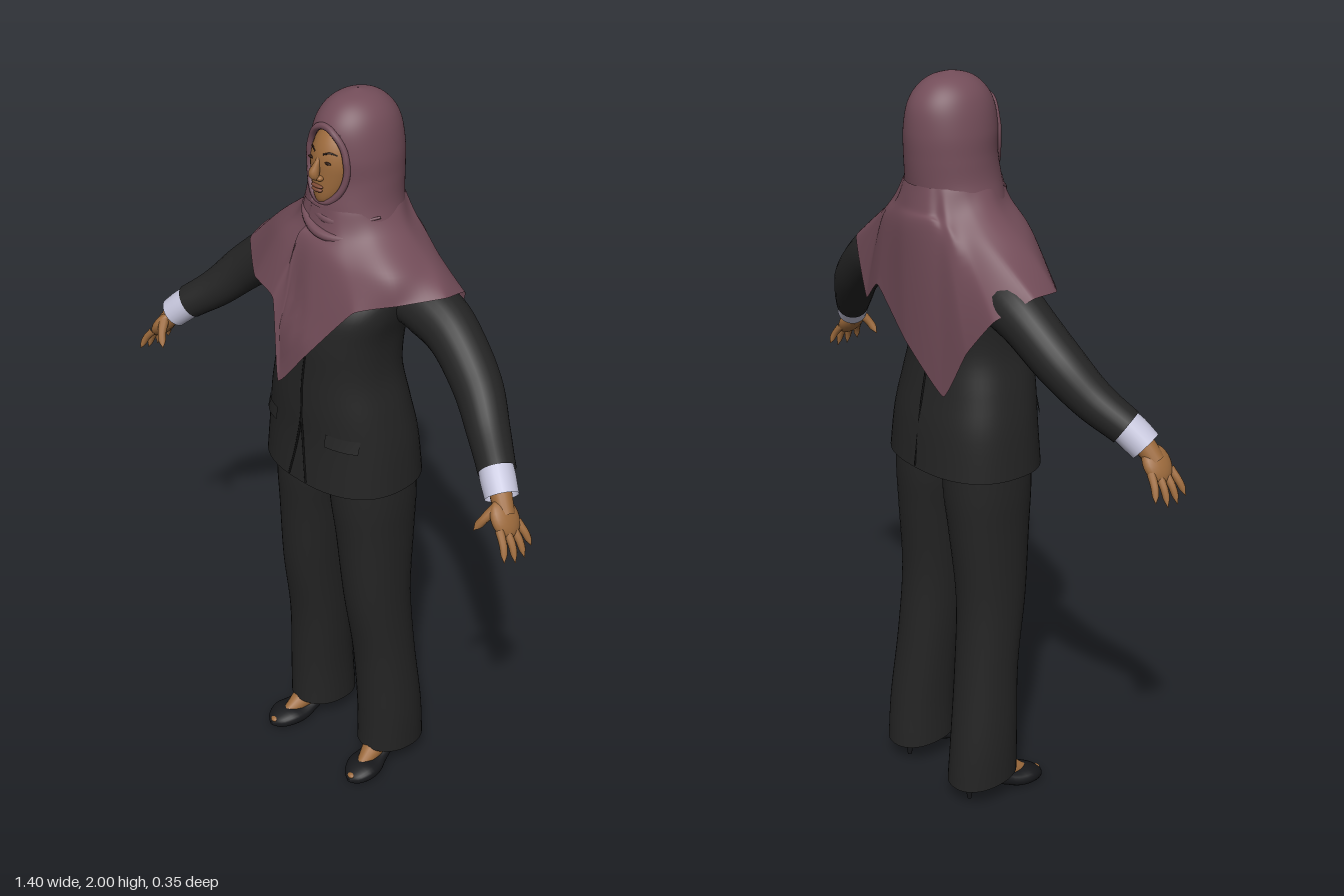
import * as THREE from 'three';

const V = (x, y, z) => new THREE.Vector3(x, y, z);
const mat = (name, color, side = THREE.FrontSide) => {
  const m = new THREE.MeshStandardMaterial({ color, side });
  m.name = name;
  return m;
};
const scarf = mat('scarf plum', 0x734d59, THREE.DoubleSide);
const suit = mat('suit black', 0x242424, THREE.DoubleSide);
const seam = mat('seam black', 0x131313, THREE.DoubleSide);
const cuffMat = mat('cuff white', 0xc6c6dc, THREE.DoubleSide);
const skin = mat('skin brown', 0x9c6a3c);
const lip = mat('lip brown', 0x7d4a35);
const eyeMat = mat('eye brown', 0x2c1a12);
const shoeMat = mat('shoe black', 0x17181b);

// Smooth value of every column of a table at u in 0..1
function at(table, u) {
  const f = Math.min(u, 0.99999) * (table.length - 1), i = Math.floor(f), t = f - i;
  const g = k => table[Math.max(0, Math.min(table.length - 1, k))];
  return table[i].map((b, c) => {
    const a = g(i - 1)[c], d = g(i + 1)[c], e = g(i + 2)[c];
    return b + 0.5 * t * (d - a + t * (2 * a - 5 * b + 4 * d - e + t * (3 * (b - d) + e - a)));
  });
}

// Surface through rows of points; closed rows wrap around
function loft(rows, { closed = true, caps = false } = {}) {
  const n = rows[0].length, pos = rows.flat().flatMap(p => [p.x, p.y, p.z]), idx = [];
  for (let i = 0; i < rows.length - 1; i++)
    for (let j = 0; j < (closed ? n : n - 1); j++) {
      const a = i * n + j, b = i * n + (j + 1) % n;
      idx.push(a, b, b + n, a, b + n, a + n);
    }
  if (caps) [0, rows.length - 1].forEach(r => {
    const c = rows[r].reduce((s, p) => s.add(p), V(0, 0, 0)).divideScalar(n);
    const base = pos.length / 3;
    rows[r].forEach(p => pos.push(p.x, p.y, p.z));
    pos.push(c.x, c.y, c.z);
    for (let j = 0; j < n; j++) {
      const a = base + j, b = base + (j + 1) % n;
      idx.push(...(r ? [a, b, base + n] : [b, a, base + n]));
    }
  });
  const g = new THREE.BufferGeometry();
  g.setAttribute('position', new THREE.Float32BufferAttribute(pos, 3));
  g.setIndex(idx);
  g.computeVertexNormals();
  return g;
}

// Horizontal super-ellipse ring, starting at the front
const pw = (v, p) => Math.sign(v) * Math.abs(v) ** (2 / p);
const ring = ([y, cx, cz, rx, rz], n, p = 2) => Array.from({ length: n }, (_, j) => {
  const a = j / n * Math.PI * 2;
  return V(cx + rx * pw(Math.sin(a), p), y, cz + rz * pw(Math.cos(a), p));
});
const rings = (table, rows, n, p) =>
  Array.from({ length: rows + 1 }, (_, i) => ring(at(table, i / rows), n, p));

// Tube whose radius follows a list
function limb(pts, radii, seg = 16, sides = 16) {
  const c = new THREE.CatmullRomCurve3(pts), g = new THREE.TubeGeometry(c, seg, 1, sides);
  const p = g.attributes.position, tab = radii.map(r => [r]), v = V(0, 0, 0);
  for (let k = 0; k < p.count; k++) {
    const t = Math.floor(k / (sides + 1)) / seg, o = c.getPointAt(t);
    v.fromBufferAttribute(p, k).sub(o).multiplyScalar(Math.max(0.0005, at(tab, t)[0])).add(o);
    p.setXYZ(k, v.x, v.y, v.z);
  }
  return g;
}

// Jacket rings: y, cx, cz, rx, rz
const JACKET = [[0.98, 0, 0.012, 0.22, 0.165], [1.1, 0, 0.014, 0.209, 0.155], [1.2, 0, 0.024, 0.19, 0.146],
  [1.3, 0, 0.03, 0.167, 0.138], [1.4, 0, 0.025, 0.168, 0.142], [1.48, 0, 0.01, 0.186, 0.138],
  [1.55, 0, -0.02, 0.19, 0.11], [1.6, 0, -0.03, 0.15, 0.08], [1.66, 0, -0.03, 0.07, 0.06]];
const JP = 2.4;
function jacketAt(y) {
  let i = 0;
  while (i < JACKET.length - 2 && JACKET[i + 1][0] < y) i++;
  const a = JACKET[i], b = JACKET[i + 1];
  const t = THREE.MathUtils.clamp((y - a[0]) / (b[0] - a[0]), 0, 1);
  return a.map((v, c) => v + (b[c] - v) * t);
}
function onJacket(x, y, dir = 1, off = 0) {
  const [, , cz, rx, rz] = jacketAt(y);
  return V(x, y, cz + dir * (off + rz * (1 - Math.min(1, Math.abs(x) / rx) ** JP) ** (1 / JP)));
}

// Face surface
const FY = 1.835;
function facePoint(x, y, z) {
  return V(0.07 * x * (1 - 0.18 * Math.max(0, -y)), FY + 0.105 * y,
    0.02 + 0.08 * z + (y < 0 && z > 0 ? 0.045 * y * y * Math.min(1, z * 2) : 0));
}
const onFace = (x, y) => {
  const u = x / 0.07, v = (y - FY) / 0.105;
  return facePoint(u, v, Math.sqrt(Math.max(0, 1 - u * u - v * v)));
};

// Scarf hem, from the front point round by the left side
const HEM = [[-0.07, 1.25, 0.178], [0.03, 1.36, 0.178], [0.16, 1.52, 0.135], [0.24, 1.545, 0.065],
  [0.31, 1.56, -0.03], [0.285, 1.53, -0.125], [0.23, 1.38, -0.135], [0.15, 1.44, -0.155],
  [0.02, 1.33, -0.165], [-0.13, 1.22, -0.158], [-0.22, 1.36, -0.155], [-0.3, 1.46, -0.135],
  [-0.36, 1.52, -0.06], [-0.33, 1.51, 0.035], [-0.2, 1.485, 0.135], [-0.085, 1.48, 0.175]];
const HOOD = [[1.68, 0, -0.02, 0.14, 0.12], [1.74, 0, -0.026, 0.12, 0.121], [1.8, 0, -0.033, 0.113, 0.119],
  [1.86, 0, -0.033, 0.109, 0.121], [1.92, 0, -0.033, 0.096, 0.113], [1.96, 0, -0.033, 0.076, 0.09],
  [1.987, 0, -0.033, 0.044, 0.054], [2, 0, -0.033, 0.001, 0.001]];

export function createModel() {
  const model = new THREE.Group();
  const add = (name, geo, m, parent = model) => {
    const o = new THREE.Mesh(geo, m);
    o.name = name;
    parent.add(o);
    return o;
  };
  const blob = (name, m, p, s) => {
    const o = add(name, new THREE.SphereGeometry(1, 20, 14), m);
    o.position.copy(p);
    o.scale.set(...s);
    return o;
  };

  // Jacket with front closure, back vent and pocket flaps
  add('jacket', loft(rings(JACKET, 36, 56, JP), { caps: true }), suit);
  const line = (name, pts, dir) => add(name, new THREE.TubeGeometry(
    new THREE.CatmullRomCurve3(pts.map(([x, y]) => onJacket(x, y, dir))), 16, 0.003, 6), seam);
  line('frontClosure', [[0.03, 1.4], [0.012, 1.28], [0.008, 1.18], [-0.012, 1.08], [-0.035, 0.985]], 1);
  line('frontEdge', [[0.008, 1.18], [0.015, 1.08], [0.028, 0.985]], 1);
  line('backVent', [[0, 1.45], [0, 1.3], [0, 1.15], [0, 0.985]], -1);

  // Head scarf: hood pressed in behind the face opening
  const oval = p => (p.x / 0.064) ** 2 + ((p.y - 1.838) / 0.093) ** 2;
  const hood = rings(HOOD, 60, 110);
  hood.flat().forEach(p => { if (p.z > 0 && oval(p) < 1) p.z = 0; });
  add('hood', loft(hood), scarf);
  const rim = Array.from({ length: 28 }, (_, k) => {
    const a = k / 28 * Math.PI * 2, x = 0.065 * Math.sin(a), y = 1.838 + 0.094 * Math.cos(a);
    let i = 0;
    while (HOOD[i + 1][0] < y) i++;
    const t = (y - HOOD[i][0]) / (HOOD[i + 1][0] - HOOD[i][0]);
    const [rx, rz] = [3, 4].map(c => HOOD[i][c] + (HOOD[i + 1][c] - HOOD[i][c]) * t);
    return V(x, y, -0.034 + rz * Math.sqrt(1 - (x / rx) ** 2));
  });
  add('hoodRim', new THREE.TubeGeometry(new THREE.CatmullRomCurve3(rim, true), 84, 0.009, 8, true), scarf);

  // Drape: rings widen from the neck to the pointed hem and stay clear of the jacket
  const levels = [[1.735, -0.026, 0.118, 0.124], [1.68, -0.026, 0.155, 0.134], [1.61, -0.018, 0.245, 0.154]];
  const curves = [...levels.map(([y, cz, rx, rz]) => HEM.map(([x, , z]) => {
    const a = Math.atan2(x / 0.33, z / 0.16);
    return V(rx * Math.sin(a), y, cz + rz * Math.cos(a));
  })), HEM.map(p => V(...p))].map((pts, k) => new THREE.CatmullRomCurve3(pts, true, 'catmullrom', k < 3 ? 0.5 : 0.2));
  const N = 160, R = 24, drape = Array.from({ length: R + 1 }, () => []);
  for (let j = 0; j < N; j++) {
    const col = curves.map(c => c.getPoint(j / N).toArray());
    for (let i = 0; i <= R; i++) {
      const t = 1 - i / R, p = V(...at(col, t)), a = j / N * Math.PI * 2;
      const w = 1 + 0.018 * Math.sin(a * 9 + t * 5) * Math.sin(Math.PI * t);
      p.x *= w;
      p.z *= w;
      const [, , cz, rx, rz] = jacketAt(p.y);
      const d = (Math.abs(p.x) / (rx + 0.009)) ** JP + (Math.abs(p.z - cz) / (rz + 0.009)) ** JP;
      if (d < 1 && d > 0.01) {
        const s = d ** (-1 / JP);
        p.x *= s;
        p.z = cz + (p.z - cz) * s;
      }
      drape[i].push(p);
    }
  }
  add('scarfDrape', loft(drape), scarf);
  // Folds wrapped under the chin
  [[0, 0], [-0.035, 0.018]].forEach(([dy, dz]) => add('scarfFold', limb([V(-0.1, 1.77 + dy, 0.02 + dz),
    V(-0.055, 1.735 + dy, 0.07 + dz), V(0.01, 1.71 + dy, 0.09 + dz), V(0.07, 1.705 + dy, 0.07 + dz),
    V(0.125, 1.72 + dy, 0.01 + dz)], [0.003, 0.011, 0.013, 0.011, 0.003], 24, 10), scarf));

  // Face
  const face = new THREE.SphereGeometry(1, 40, 30), fp = face.attributes.position;
  for (let k = 0; k < fp.count; k++) fp.setXYZ(k, ...facePoint(fp.getX(k), fp.getY(k), fp.getZ(k)).toArray());
  face.computeVertexNormals();
  add('face', face, skin);
  add('nose', limb([V(0, 1.862, 0.09), V(0, 1.84, 0.103), V(0, 1.822, 0.11), V(0, 1.808, 0.098)],
    [0.006, 0.009, 0.014, 0.006], 14, 12), skin);
  blob('upperLip', lip, onFace(0, 1.79), [0.02, 0.005, 0.007]);
  blob('lowerLip', lip, onFace(0, 1.781), [0.018, 0.006, 0.008]);

  for (const s of [1, -1]) {
    const P = (x, y, z) => V(x * s, y, z);
    blob('nostril', skin, P(0.011, 1.812, 0.1), [0.008, 0.007, 0.01]);
    blob('eye', eyeMat, onFace(0.028 * s, 1.853), [0.011, 0.0035, 0.004]);
    add('eyebrow', limb([0.014, 0.03, 0.045].map((x, i) => onFace(x * s, 1.872 + [0, 0.005, 0][i])),
      [0.002, 0.0025, 0.001], 10, 6), eyeMat);

    // Pocket flap
    add('pocketFlap', loft([1.12, 1.155].map(y => [0, 1, 2, 3, 4].map(i =>
      onJacket(s * (0.09 + 0.02 * i), y - 0.002 * i, 1, y < 1.13 ? 0.008 : 0.003))), { closed: false }), suit);

    // Sleeve and shirt cuff
    add('sleeve', limb([P(0.13, 1.5, -0.045), P(0.22, 1.495, -0.055), P(0.3, 1.465, -0.055), P(0.42, 1.37, -0.03),
      P(0.5, 1.29, 0.01), P(0.572, 1.232, 0.054)], [0.06, 0.073, 0.066, 0.062, 0.054, 0.047], 30, 24), suit);
    add('cuff', limb([P(0.55, 1.252, 0.042), P(0.582, 1.222, 0.062), P(0.614, 1.19, 0.08)],
      [0.041, 0.044, 0.042], 6, 24), cuffMat);

    // Hand
    add('wrist', limb([P(0.58, 1.225, 0.06), P(0.612, 1.19, 0.08), P(0.638, 1.155, 0.092)], [0.028, 0.027, 0.024]), skin);
    const palm = blob('palm', skin, P(0.64, 1.15, 0.095), [0.021, 0.05, 0.041]);
    palm.rotation.z = s * 0.6;
    for (let i = 0; i < 4; i++) {
      const l = [0.85, 1, 1, 0.8][3 - i], z = 0.066 + 0.02 * i;
      add('finger', limb([P(0.652, 1.135, z), P(0.652 + 0.028 * l, 1.135 - 0.036 * l, z + 0.006 * (i - 1.3)),
        P(0.652 + 0.045 * l, 1.135 - 0.077 * l, z + 0.012 * (i - 1.3))], [0.011, 0.01, 0.0095, 0.008, 0.001], 14, 10), skin);
    }
    add('thumb', limb([P(0.622, 1.175, 0.11), P(0.606, 1.145, 0.133), P(0.588, 1.112, 0.146)],
      [0.014, 0.013, 0.011, 0.01, 0.001], 14, 10), skin);

    // Trouser leg, hem lower at the back
    const leg = rings([[0.07, 0.14, -0.035, 0.08, 0.1], [0.2, 0.14, -0.03, 0.08, 0.094], [0.4, 0.13, -0.015, 0.079, 0.087],
      [0.6, 0.122, 0.005, 0.081, 0.096], [0.8, 0.112, 0.005, 0.091, 0.111], [0.92, 0.104, 0.005, 0.101, 0.12],
      [1.05, 0.1, 0.005, 0.1, 0.12]].map(r => [r[0], r[1] * s, ...r.slice(2)]), 30, 40, 2.2);
    leg[0].forEach(p => { p.y += 0.1 * p.z; });
    add('trouserLeg', loft(leg, { caps: true }), suit);

    // Foot and heeled shoe
    add('foot', limb([P(0.14, 0.15, -0.04), P(0.143, 0.1, -0.01), P(0.15, 0.06, 0.045), P(0.157, 0.032, 0.095)],
      [0.034, 0.035, 0.031, 0.018]), skin);
    const SHOE = [[-0.105, 0.14, 0.004, 0.07, 0.09], [-0.09, 0.14, 0.027, 0.055, 0.1], [-0.04, 0.142, 0.032, 0.042, 0.09],
      [0.02, 0.148, 0.038, 0.015, 0.06], [0.06, 0.155, 0.048, 0.003, 0.05], [0.1, 0.16, 0.049, 0.002, 0.05],
      [0.135, 0.163, 0.032, 0.003, 0.036], [0.152, 0.165, 0.006, 0.01, 0.02]];
    add('shoe', loft(Array.from({ length: 25 }, (_, i) => {
      const [z, cx, w, y0, y1] = at(SHOE, i / 24);
      return Array.from({ length: 24 }, (_, j) => {
        const a = j / 24 * Math.PI * 2;
        return V(cx * s + w * pw(Math.cos(a), 2.4), Math.max(0, (y0 + y1) / 2 + (y1 - y0) / 2 * pw(Math.sin(a), 2.4)), z);
      });
    }), { caps: true }), shoeMat);
    blob('toe', skin, P(0.164, 0.026, 0.138), [0.013, 0.008, 0.012]);
    const heel = add('heel', new THREE.CylinderGeometry(0.016, 0.006, 0.07, 12), shoeMat);
    heel.position.set(0.14 * s, 0.035, -0.08);
  }
  return model;
}
